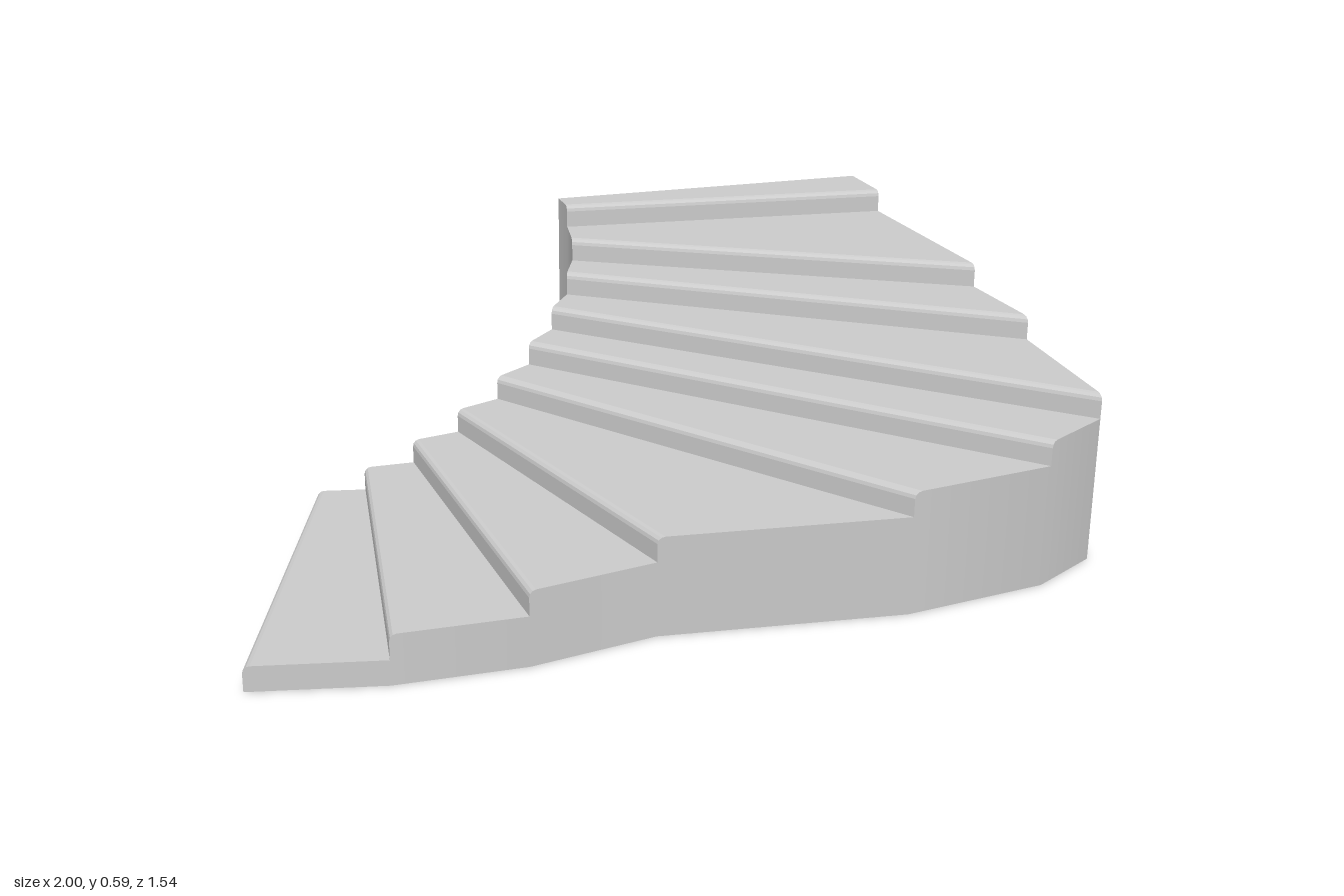
import * as THREE from 'three';

// Plan corners [x, z] of each riser from the bottom step up, plus the landing's end
const INNER = [[-0.71, -0.165], [-0.595, -0.14], [-0.472, -0.137], [-0.352, -0.16], [-0.238, -0.205], [-0.137, -0.272],
  [-0.052, -0.357], [0.018, -0.456], [0.065, -0.565], [0.087, -0.69], [0.087, -0.775]];
const OUTER = [[-1, 0.682], [-0.707, 0.745], [-0.413, 0.753], [-0.117, 0.703], [0.447, 0.77], [0.8, 0.727],
  [0.973, 0.635], [1, 0.235], [0.988, -0.03], [0.973, -0.59], [0.973, -0.77]];
const STEPS = 10;
const RISE = 0.0588;
const NOSE = 0.016; // radius of the rounded front edge
const CREASE = Math.cos(0.6);

const material = new THREE.MeshStandardMaterial({ color: 0xcccccc, side: THREE.DoubleSide });
const toVectors = (list) => list.map(([x, z]) => new THREE.Vector3(x, 0, z));

// Side profile of one step: [distance behind the riser, height]
function stepProfile(i) {
  const top = (i + 1) * RISE;
  const points = [[0, i * RISE]];
  for (let k = 0; k <= 3; k++) {
    const a = (k / 3) * Math.PI / 2;
    points.push([NOSE * (1 - Math.cos(a)), top - NOSE * (1 - Math.sin(a))]);
  }
  return points;
}

// Profile laid along one side of a step: t is the fraction of the way to the next riser
function sideProfile(path, i, riserNormal) {
  const run = path[i + 1].clone().sub(path[i]);
  const depth = Math.abs(run.dot(riserNormal));
  const points = stepProfile(i).map(([d, y]) => ({ t: d / depth, y }));
  points.push({ t: 1, y: (i + 1) * RISE });
  points.forEach((p) => { p.pos = path[i].clone().addScaledVector(run, p.t).setY(p.y); });
  return points;
}

function quadBuilder() {
  const position = [], normal = [];
  return {
    add(corners, normals) {
      for (const k of [0, 1, 2, 0, 2, 3]) {
        position.push(...corners[k].toArray());
        if (normals) normal.push(...normals[k].toArray());
      }
    },
    mesh(name) {
      const geometry = new THREE.BufferGeometry();
      geometry.setAttribute('position', new THREE.Float32BufferAttribute(position, 3));
      if (normal.length) geometry.setAttribute('normal', new THREE.Float32BufferAttribute(normal, 3));
      else geometry.computeVertexNormals();
      const mesh = new THREE.Mesh(geometry, material);
      mesh.name = name;
      return mesh;
    },
  };
}

// Wall from the floor up to the stepped edge, smooth except at sharp plan corners
function sideWall(name, path, profiles, sign) {
  const quads = quadBuilder();
  const faceNormals = profiles.map((_, i) => {
    const d = path[i + 1].clone().sub(path[i]).normalize();
    return new THREE.Vector3(-d.z * sign, 0, d.x * sign);
  });
  const blend = (i, j) => {
    const a = faceNormals[i], b = faceNormals[j];
    return !b || a.dot(b) < CREASE ? a.clone() : a.clone().add(b).normalize();
  };
  profiles.forEach((points, i) => {
    const start = blend(i, i - 1), end = blend(i, i + 1);
    const normalAt = (t) => start.clone().lerp(end, t).normalize();
    for (let k = 1; k < points.length - 1; k++) {
      const a = points[k], b = points[k + 1];
      const na = normalAt(a.t), nb = normalAt(b.t);
      const corners = [a.pos.clone().setY(0), b.pos.clone().setY(0), b.pos, a.pos];
      const normals = [na, nb, nb, na];
      if (sign < 0) { corners.reverse(); normals.reverse(); }
      quads.add(corners, normals);
    }
  });
  return quads.mesh(name);
}

export function createModel() {
  const model = new THREE.Group();
  model.name = 'curvedStaircase';
  const inner = toVectors(INNER), outer = toVectors(OUTER);
  const innerProfiles = [], outerProfiles = [];

  // Steps: riser, rounded nosing and tread, hollow underneath
  for (let i = 0; i < STEPS; i++) {
    const edge = outer[i].clone().sub(inner[i]).normalize();
    const riserNormal = new THREE.Vector3(-edge.z, 0, edge.x);
    const a = sideProfile(inner, i, riserNormal);
    const b = sideProfile(outer, i, riserNormal);
    innerProfiles.push(a);
    outerProfiles.push(b);
    const quads = quadBuilder();
    for (let k = 0; k < a.length - 1; k++) {
      quads.add([a[k].pos, b[k].pos, b[k + 1].pos, a[k + 1].pos]);
    }
    model.add(quads.mesh(`step${i + 1}`));
  }

  // Side walls
  model.add(sideWall('outerWall', outer, outerProfiles, 1));
  model.add(sideWall('innerWall', inner, innerProfiles, -1));
  return model;
}
